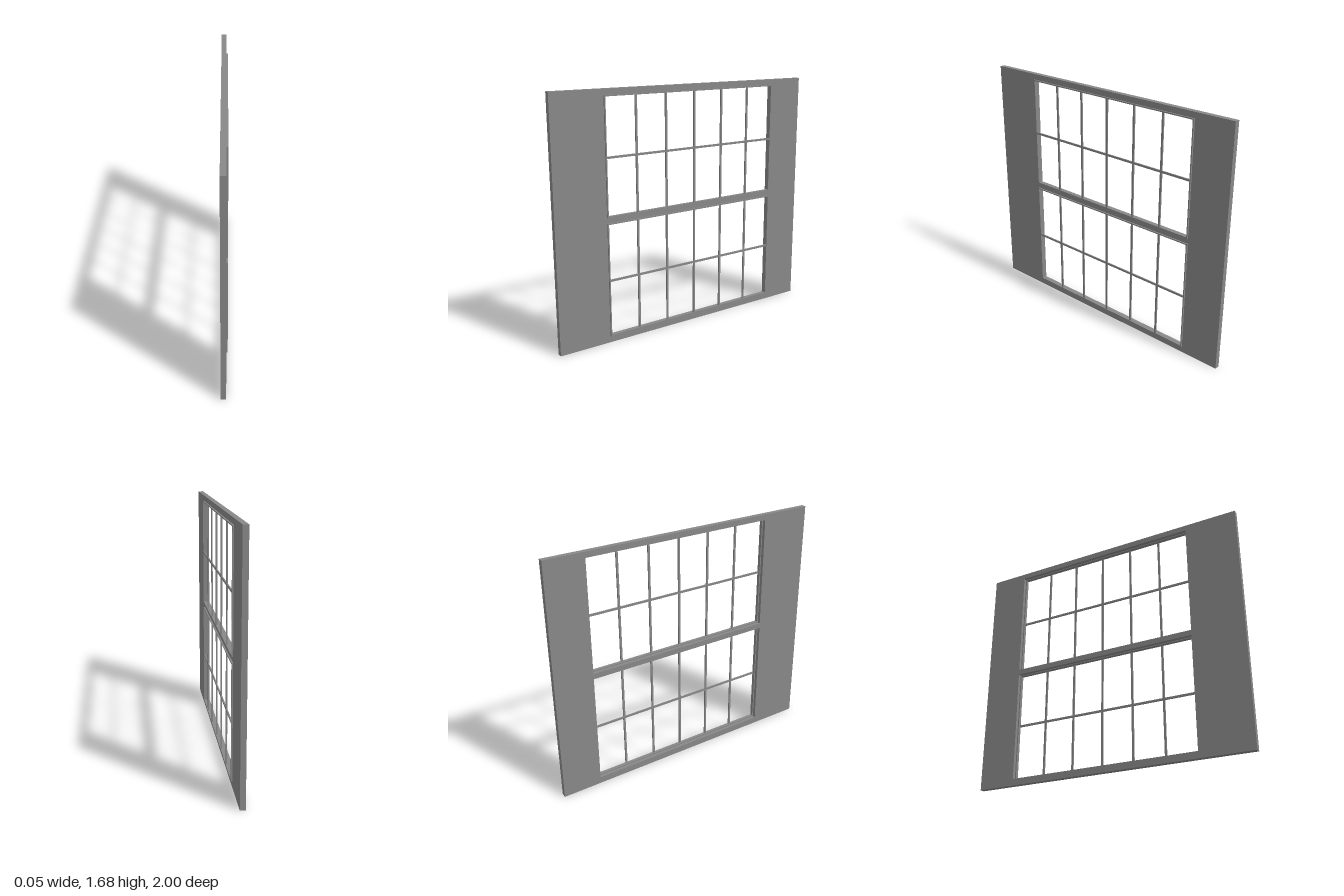
import * as THREE from 'three';

const material = new THREE.MeshStandardMaterial({ color: 0x888888, flatShading: true });

const BACK = -0.023, WALL_FRONT = 0.013, FRAME_BACK = 0, FRAME_FRONT = 0.023;
const Z0 = -0.727, Z1 = 0.636;              // sides of the window openings
const HEIGHT = 1.685, COLUMNS = 6;
const FRAME = 0.008, BAR = 0.014;           // frame and glazing bar widths
const windows = [['lower', 0.046, 0.827], ['upper', 0.865, 1.646]];

// Rectangle in the z-y plane, stored with u = -z so it can be turned to face +x
function rect(Type, z0, z1, y0, y1) {
  const r = new Type();
  r.moveTo(-z1, y0);
  r.lineTo(-z0, y0);
  r.lineTo(-z0, y1);
  r.lineTo(-z1, y1);
  r.closePath();
  return r;
}

// Extrudes a rectangle with rectangular holes from x0 to x1
function panel(name, shape, x0, x1) {
  const geometry = new THREE.ExtrudeGeometry(shape, { depth: x1 - x0, bevelEnabled: false });
  geometry.rotateY(Math.PI / 2);
  geometry.translate(x0, 0, 0);
  const mesh = new THREE.Mesh(geometry, material);
  mesh.name = name;
  return mesh;
}

function bar(name, height, length, y, z) {
  const mesh = new THREE.Mesh(new THREE.BoxGeometry(0.009, height, length), material);
  mesh.position.set(0.0165, y, z);
  mesh.name = name;
  return mesh;
}

export function createModel() {
  const model = new THREE.Group();
  model.name = 'windowWall';

  // Wall slab with two openings
  const wall = rect(THREE.Shape, -1, 1, 0, HEIGHT);
  for (const [, y0, y1] of windows) wall.holes.push(rect(THREE.Path, Z0, Z1, y0, y1));
  model.add(panel('wall', wall, BACK, WALL_FRONT));

  for (const [name, y0, y1] of windows) {
    const sash = new THREE.Group();
    sash.name = name + 'Window';

    // Thin frame set in the front of the opening and standing proud of the wall
    const frame = rect(THREE.Shape, Z0, Z1, y0, y1);
    frame.holes.push(rect(THREE.Path, Z0 + FRAME, Z1 - FRAME, y0 + FRAME, y1 - FRAME));
    sash.add(panel('frame', frame, FRAME_BACK, FRAME_FRONT));

    // Glazing bars: one horizontal, five vertical
    sash.add(bar('horizontalBar', BAR, Z1 - Z0 - FRAME, (y0 + y1) / 2, (Z0 + Z1) / 2));
    for (let i = 1; i < COLUMNS; i++) {
      const z = Z0 + (Z1 - Z0) * i / COLUMNS;
      sash.add(bar('verticalBar', y1 - y0 - FRAME, BAR, (y0 + y1) / 2, z));
    }
    model.add(sash);
  }
  return model;
}
